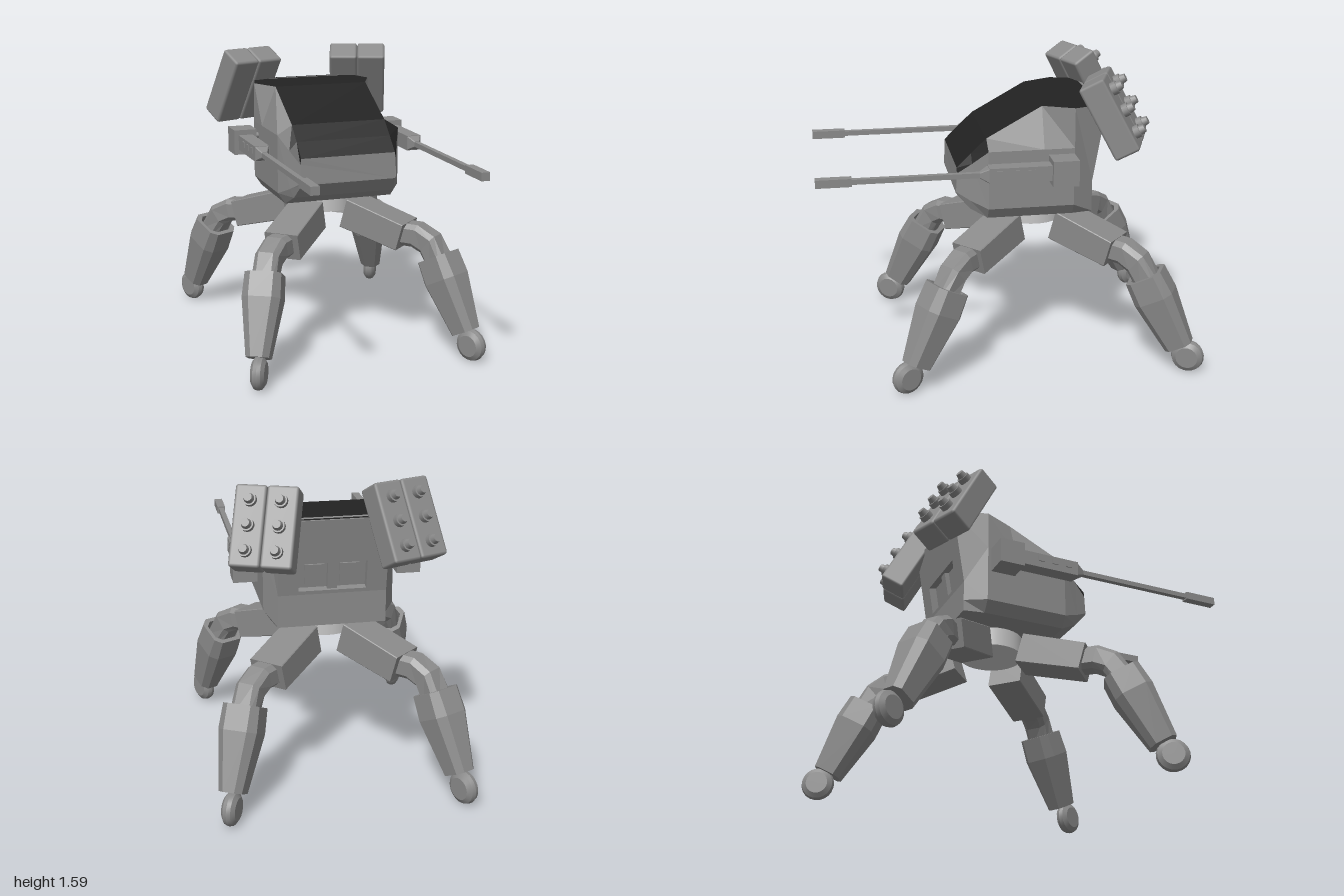
import * as THREE from 'three';
import { toCreasedNormals } from 'three/addons/utils/BufferGeometryUtils.js';
import { RoundedBoxGeometry } from 'three/addons/geometries/RoundedBoxGeometry.js';

const V = (x, y, z) => new THREE.Vector3(x, y, z);

function material(name, color) {
  const m = new THREE.MeshStandardMaterial({ color });
  m.name = name;
  return m;
}

// Joins rings of equal length into a flat-faceted skin; isSecond(strip, facet) picks material 1
function loft(rings, capStart, capEnd, isSecond = () => false) {
  const lists = [[], []];
  const tri = (l, ...p) => p.forEach((v) => l.push(v.x, v.y, v.z));
  const n = rings[0].length;
  for (let i = 0; i < rings.length - 1; i++) {
    for (let j = 0; j < n; j++) {
      const k = (j + 1) % n, a = rings[i], b = rings[i + 1];
      const l = lists[isSecond(i, j) ? 1 : 0];
      tri(l, a[j], b[j], a[k]);
      tri(l, a[k], b[j], b[k]);
    }
  }
  const first = rings[0], last = rings[rings.length - 1];
  for (let j = 1; j < n - 1; j++) {
    if (capStart) tri(lists[0], first[0], first[j], first[j + 1]);
    if (capEnd) tri(lists[0], last[0], last[j + 1], last[j]);
  }
  const g = new THREE.BufferGeometry();
  g.setAttribute('position', new THREE.Float32BufferAttribute(lists.flat(), 3));
  g.addGroup(0, lists[0].length / 3, 0);
  if (lists[1].length) g.addGroup(lists[0].length / 3, lists[1].length / 3, 1);
  g.computeVertexNormals();
  return g;
}

// Chamfered rectangle around p, square to direction t
function section(p, t, w, h, c) {
  const side = t.clone().cross(V(0, 1, 0)).normalize();
  const up = side.clone().cross(t).normalize();
  const a = w / 2, b = h / 2;
  return [[a, -b + c], [a, b - c], [a - c, b], [-a + c, b], [-a, b - c], [-a, -b + c], [-a + c, -b], [a - c, -b]]
    .map(([u, v]) => p.clone().addScaledVector(side, u).addScaledVector(up, v));
}

export function createModel() {
  const grey = material('hull grey', 0x8a8a8a);
  const dark = material('canopy black', 0x222222);
  const pale = material('turret ring pale grey', 0xc6c6c6);
  const model = new THREE.Group();
  model.name = 'walker';

  const add = (parent, name, geo, mat, x = 0, y = 0, z = 0) => {
    const m = new THREE.Mesh(geo, mat);
    m.name = name;
    m.position.set(x, y, z);
    parent.add(m);
    return m;
  };
  const box = (parent, name, w, h, d, x, y, z) =>
    add(parent, name, new THREE.BoxGeometry(w, h, d), grey, x, y, z);

  // Hull: half sections of four [x, y, z] corners, front to back
  const halves = [
    [[0.26, 0.96, 0.28], [0.265, 0.97, 0.28], [0.265, 1.07, 0.275], [0.26, 1.10, 0.275]],
    [[0.28, 0.88, 0.21], [0.30, 0.93, 0.21], [0.30, 1.13, 0.20], [0.26, 1.175, 0.20]],
    [[0.30, 0.83, 0.12], [0.34, 0.89, 0.12], [0.34, 1.20, 0.12], [0.26, 1.25, 0.12]],
    [[0.30, 0.83, -0.17], [0.34, 0.89, -0.17], [0.34, 1.20, -0.17], [0.26, 1.41, -0.17]],
    [[0.30, 0.83, -0.33], [0.34, 0.89, -0.33], [0.34, 1.20, -0.33], [0.335, 1.41, -0.33]],
    [[0.28, 0.83, -0.44], [0.28, 0.89, -0.44], [0.28, 1.00, -0.44], [0.28, 1.41, -0.51]],
  ];
  const rings = halves.map((h) => [...h, ...h.slice().reverse().map(([x, y, z]) => [-x, y, z])].map((p) => V(...p)));
  const isCanopy = (i, j) => j === 3 || (i < 2 && (j === 2 || j === 4));
  add(model, 'hull', loft(rings, true, false, isCanopy), [grey, dark]);

  // Rear wall: upright sill and leaning plate with a recessed double hatch
  box(model, 'rearSill', 0.56, 0.17, 0.04, 0, 0.915, -0.42);
  const rear = new THREE.Group();
  rear.name = 'rearWall';
  rear.position.set(0, 1.0, -0.44);
  rear.rotation.x = -0.169;
  model.add(rear);
  const rect = (P, w, y0, y1) => {
    const p = new P();
    p.moveTo(-w, y0);
    p.lineTo(w, y0);
    p.lineTo(w, y1);
    p.lineTo(-w, y1);
    p.closePath();
    return p;
  };
  const plate = rect(THREE.Shape, 0.28, 0, 0.412);
  plate.holes.push(rect(THREE.Path, 0.175, 0.02, 0.175));
  add(rear, 'rearPlate', new THREE.ExtrudeGeometry(plate, { depth: 0.04, bevelEnabled: false }), grey);
  box(rear, 'hatchFloor', 0.36, 0.17, 0.01, 0, 0.097, 0.045);
  box(rear, 'hatchDivider', 0.05, 0.155, 0.03, 0, 0.097, 0.03);
  for (const s of [-1, 1]) box(rear, 'hatchPanel', 0.10, 0.11, 0.01, s * 0.09, 0.097, 0.037);

  // Turret ring between hull and legs
  add(model, 'turretRing', new THREE.CylinderGeometry(0.17, 0.17, 0.11, 32), pale, 0, 0.785, -0.165);

  // Four legs spread around the turret ring
  const footProfile = [[0, -0.036], [0.058, -0.036], [0.082, -0.02], [0.088, 0], [0.082, 0.02], [0.058, 0.036], [0, 0.036]]
    .map(([r, y]) => new THREE.Vector2(r, y));
  const footGeo = toCreasedNormals(new THREE.LatheGeometry(footProfile, 20), 0.5);
  for (const sx of [-1, 1]) for (const sz of [-1, 1]) {
    const leg = new THREE.Group();
    leg.name = (sz > 0 ? 'front' : 'back') + (sx > 0 ? 'Left' : 'Right') + 'Leg';
    leg.position.z = -0.165;
    model.add(leg);
    const P = (x, y, z) => V(sx * x, y, sz * z);
    const skin = (name, pts, dirs, sizes) => add(leg, name, loft(
      pts.map((p, i) => section(p, dirs[i], ...sizes[i])), true, true), grey);

    const hip = P(0.125, 0.725, 0.143), knee = P(0.352, 0.63, 0.395);
    const thighDir = knee.clone().sub(hip).normalize();
    skin('thigh', [hip, knee], [thighDir, thighDir], [[0.19, 0.165, 0.004], [0.19, 0.15, 0.004]]);

    const top = P(0.485, 0.53, 0.525), ankle = P(0.578, 0.14, 0.705);
    const shinDir = ankle.clone().sub(top).normalize();
    const bend = thighDir.clone().add(shinDir).normalize();
    skin('kneeNeck', [knee.clone().addScaledVector(thighDir, -0.03), P(0.40, 0.635, 0.435), P(0.455, 0.595, 0.49),
      top.clone().addScaledVector(shinDir, 0.06)],
    [thighDir, thighDir, bend, shinDir], Array(4).fill([0.13, 0.13, 0.025]));

    // Shin with an open socket at its top
    const at = [0.06, 0, 0, 0.13, 0.43];
    skin('shin', at.map((d) => top.clone().addScaledVector(shinDir, d)), at.map(() => shinDir),
      [[0.15, 0.15, 0.03], [0.15, 0.15, 0.03], [0.19, 0.20, 0.035], [0.20, 0.215, 0.04], [0.12, 0.15, 0.03]]);

    const foot = add(leg, 'foot', footGeo, grey, sx * 0.588, 0.088, sz * 0.748);
    const axle = shinDir.clone().cross(V(0, 1, 0)).normalize();
    foot.quaternion.setFromUnitVectors(V(0, 1, 0), axle);
  }

  // Side guns and rear rocket pods
  for (const s of [-1, 1]) {
    const gun = new THREE.Group();
    gun.name = s > 0 ? 'leftGun' : 'rightGun';
    gun.position.set(s * 0.428, 1.112, 0);
    model.add(gun);
    box(gun, 'gunHousing', 0.125, 0.135, 0.135, 0, 0, -0.255);
    box(gun, 'receiver', 0.078, 0.08, 0.33, 0, 0, -0.03);
    const fwd = V(0, 0, 1);
    add(gun, 'receiverNose', loft([section(V(0, 0, 0.13), fwd, 0.078, 0.08, 0.004),
      section(V(0, 0, 0.18), fwd, 0.03, 0.03, 0.004)], true, true), grey);
    box(gun, 'barrel', 0.028, 0.026, 0.68, 0, 0, 0.49);
    box(gun, 'muzzle', 0.045, 0.042, 0.18, 0, 0, 0.91);
    for (const z of [-0.08, 0, 0.08]) box(gun, 'vent', 0.008, 0.03, 0.035, s * 0.04, 0.01, z);
    for (const y of [-0.022, 0.022]) {
      const pin = add(gun, 'mountPin', new THREE.CylinderGeometry(0.016, 0.016, 0.12, 12), grey, -s * 0.09, y, -0.25);
      pin.rotation.z = Math.PI / 2;
    }

    const pod = new THREE.Group();
    pod.name = s > 0 ? 'leftRocketPod' : 'rightRocketPod';
    pod.position.set(s * 0.345, 1.38, -0.523);
    pod.rotation.set(0.51, -s * 0.37, 0, 'YXZ');
    model.add(pod);
    for (const c of [-1, 1]) {
      add(pod, 'podBlock', new RoundedBoxGeometry(0.157, 0.41, 0.14, 1, 0.014), grey, c * 0.079, 0, 0);
      for (const r of [-1, 0, 1]) {
        const x = c * 0.077, y = r * 0.125;
        add(pod, 'rocketCollar', new THREE.CylinderGeometry(0.034, 0.034, 0.04, 14), grey, x, y, -0.08).rotation.x = -Math.PI / 2;
        add(pod, 'rocketTip', new THREE.CylinderGeometry(0.02, 0.027, 0.03, 14), grey, x, y, -0.112).rotation.x = -Math.PI / 2;
      }
    }
  }
  return model;
}
